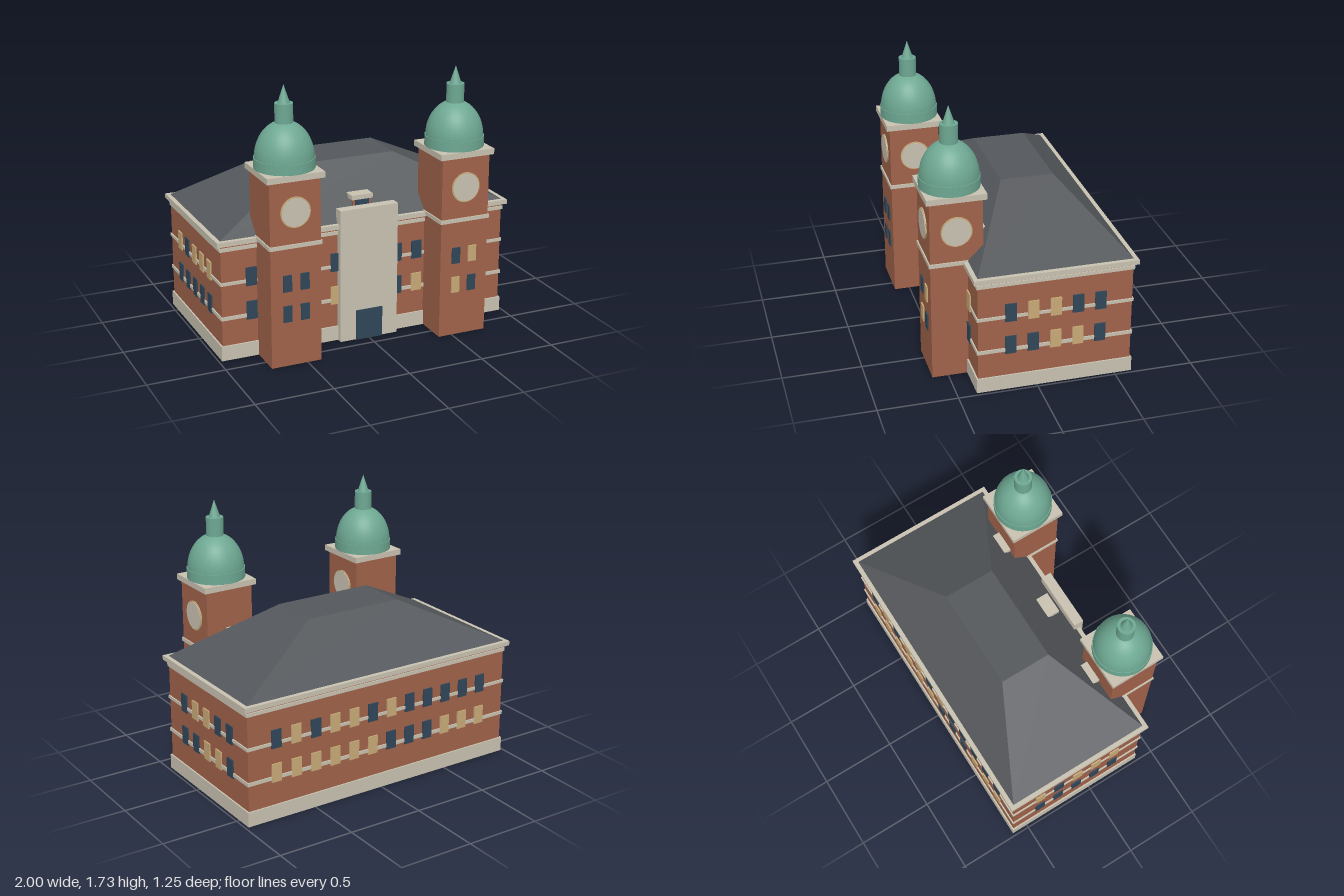
import * as THREE from 'three';

const mat = (name, color) => new THREE.MeshStandardMaterial({ name, color });

export function createModel() {
  const brick = mat('brick', 0xa0624a), stone = mat('stone', 0xc8c1b0), slate = mat('slate', 0x54575b);
  const copper = mat('copper', 0x6ea893), dark = mat('darkGlass', 0x304658), lit = mat('litGlass', 0xc8a976);

  const model = new THREE.Group();
  model.name = 'twinTowerHall';

  function add(parent, name, geometry, material, x, y, z) {
    const m = new THREE.Mesh(geometry, material);
    m.name = name;
    m.position.set(x, y, z);
    parent.add(m);
    return m;
  }
  // Box given by its bottom and top heights
  const box = (parent, name, material, w, d, y0, y1, x = 0, z = 0) =>
    add(parent, name, new THREE.BoxGeometry(w, y1 - y0, d), material, x, (y0 + y1) / 2, z);

  const CZ = -0.115, HW = 0.97, HD = 0.485;

  // Main block with stone courses
  const hall = new THREE.Group();
  hall.name = 'hall';
  hall.position.z = CZ;
  model.add(hall);
  box(hall, 'walls', brick, HW * 2, HD * 2, 0, 0.77);
  const course = (name, out, y0, y1) => box(hall, name, stone, (HW + out) * 2, (HD + out) * 2, y0, y1);
  course('plinth', 0.01, 0.001, 0.097);
  course('lowerSillBand', 0.008, 0.266, 0.289);
  course('upperSillBand', 0.008, 0.494, 0.514);
  course('frieze', 0.008, 0.715, 0.738);
  course('cornice', 0.028, 0.755, 0.785);

  // Hipped roof with a flat top: a box whose top corners are drawn in
  const roofGeo = new THREE.BoxGeometry(HW * 2, 0.315, HD * 2);
  const p = roofGeo.attributes.position;
  for (let i = 0; i < p.count; i++) {
    if (p.getY(i) > 0) {
      p.setX(i, Math.sign(p.getX(i)) * 0.335);
      p.setZ(i, Math.sign(p.getZ(i)) * 0.17);
    }
  }
  roofGeo.computeVertexNormals();
  add(hall, 'roof', roofGeo, slate, 0, 0.7855 + 0.1575, 0);

  // Window rows on each wall, left to right seen from outside: d dark, g lit, - none
  const walls = [
    { name: 'front', turn: 0, dist: HD, rows: ['d--dg--dd--d', 'd--dd--dd--g'], swap: 'd--dg--dg--d' },
    { name: 'left', turn: Math.PI / 2, dist: HW, rows: ['ddggd', 'dggdd'] },
    { name: 'back', turn: Math.PI, dist: HD, rows: ['ggggggdddggg', 'dgdggdgddddd'] },
    { name: 'right', turn: -Math.PI / 2, dist: HW, rows: ['ddddd', 'gdggg'] },
  ];
  for (const { name, turn, dist, rows, swap } of walls) {
    const wall = new THREE.Group();
    wall.name = name + 'Windows';
    wall.rotation.y = turn;
    hall.add(wall);
    [swap || rows[0], rows[1]].forEach((row, level) => {
      [...row].forEach((c, i) => {
        if (c === '-') return;
        const y = level ? 0.472 : 0.25;
        box(wall, 'window', c === 'g' ? lit : dark, 0.07, 0.009, y, y + 0.12,
          (i - (row.length - 1) / 2) * 0.141, dist + 0.006);
      });
    });
  }

  // Entrance slab and door
  box(model, 'entranceBay', stone, 0.394, 0.067, 0, 0.88, 0, 0.3835);
  box(model, 'door', dark, 0.18, 0.009, 0, 0.2, 0, 0.422);

  // Dormers on the front slope
  for (const x of [-0.53, 0, 0.53]) {
    const dormer = new THREE.Group();
    dormer.name = 'dormer';
    dormer.position.x = x;
    model.add(dormer);
    box(dormer, 'dormerWalls', brick, 0.12, 0.08, 0.78, 0.902, 0, 0.26);
    box(dormer, 'dormerCap', stone, 0.144, 0.086, 0.9, 0.93, 0, 0.267);
    box(dormer, 'dormerWindow', dark, 0.095, 0.008, 0.81, 0.898, 0, 0.303);
  }

  // Domed clock towers
  function tower(name, x, panes) {
    const t = new THREE.Group();
    t.name = name;
    t.position.set(x, 0, 0.437);
    model.add(t);
    const h = 0.164;
    box(t, 'shaft', brick, h * 2, h * 2, 0, 1.19);
    box(t, 'stringCourse', stone, h * 2 + 0.016, h * 2 + 0.016, 0.765, 0.79);
    box(t, 'towerCornice', stone, 0.37, 0.37, 1.187, 1.225);

    // Front windows: lower pair, then upper pair
    panes.forEach((m, i) => {
      const y = i < 2 ? 0.292 : 0.49;
      box(t, 'towerWindow', m, 0.057, 0.009, y, y + 0.106, i % 2 ? 0.057 : -0.057, h + 0.004);
    });

    // Clocks on the front and left faces
    for (const turn of [0, Math.PI / 2]) {
      const clock = new THREE.Group();
      clock.name = 'clock';
      clock.rotation.y = turn;
      t.add(clock);
      const disc = (part, r, m, z) => {
        add(clock, part, new THREE.CylinderGeometry(r, r, 0.008, 32), m, 0, 0.99, z).rotation.x = Math.PI / 2;
      };
      disc('clockRim', 0.097, lit, h + 0.003);
      disc('clockFace', 0.09, stone, h + 0.006);
    }

    // Dome, lantern and spire
    add(t, 'drum', new THREE.CylinderGeometry(0.187, 0.187, 0.065, 32), copper, 0, 1.2575, 0);
    add(t, 'dome', new THREE.SphereGeometry(0.182, 32, 14, 0, Math.PI * 2, 0, Math.PI / 2), copper, 0, 1.285, 0)
      .scale.y = 1.25;
    add(t, 'lantern', new THREE.CylinderGeometry(0.056, 0.056, 0.13, 20), copper, 0, 1.555, 0);
    add(t, 'spire', new THREE.ConeGeometry(0.037, 0.112, 20), copper, 0, 1.676, 0);
  }
  tower('rightTower', -0.573, [dark, dark, dark, dark]);
  tower('leftTower', 0.573, [lit, dark, dark, lit]);

  return model;
}
